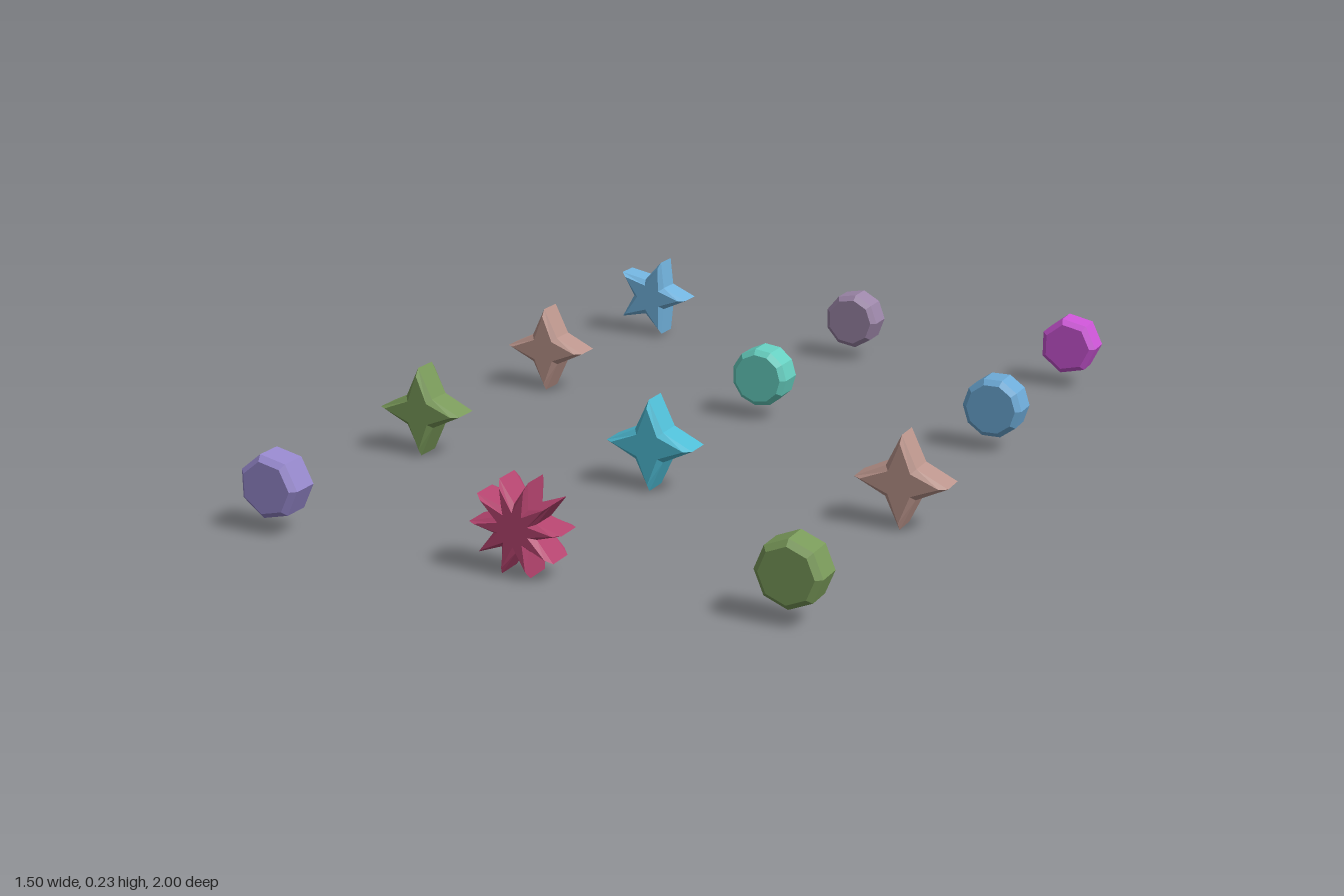
import * as THREE from 'three';

const UNIT = 2 / 62.8;      // scale of one working unit
const SPACING = 20 * UNIT;  // grid pitch
const CENTRE_Y = 0.113;

// Outline with its first corner at +x; an inner radius makes it a star
function outline(count, outer, inner) {
  const steps = inner ? count * 2 : count;
  const points = [];
  for (let i = 0; i < steps; i++) {
    const r = inner && i % 2 ? inner : outer;
    const a = (i / steps) * Math.PI * 2;
    points.push(new THREE.Vector2(Math.cos(a) * r * UNIT, Math.sin(a) * r * UNIT));
  }
  return new THREE.Shape(points);
}

// Thick slab with a single chamfer, centred on its own origin
function slab(shape) {
  const geometry = new THREE.ExtrudeGeometry(shape, {
    depth: 2 * UNIT, steps: 1, bevelEnabled: true,
    bevelThickness: 0.4 * UNIT, bevelSize: 0.4 * UNIT, bevelSegments: 1,
  });
  return geometry.translate(0, 0, -UNIT);
}

const star = (count, color) => ({ name: 'star', shape: outline(count, 3, 1.2), color });
const polygon = (count, color) => ({ name: 'polygon', shape: outline(count, 2), color });

export function createModel() {
  const group = new THREE.Group();
  group.name = 'shapeGrid';

  // Rows run from back to front, columns from -x to +x
  const rows = [
    [star(5, 0x72b3de), polygon(9, 0x9c86a8), polygon(7, 0xcc55d6)],
    [star(4, 0xbb958c), polygon(11, 0x66cfc0), polygon(10, 0x6dabd8)],
    [star(4, 0x7a9a5a), star(4, 0x4fbdd6), star(4, 0xbb958c)],
    [polygon(7, 0x9688cc), star(10, 0xb5446f), polygon(8, 0x7a9a5a)],
  ];

  rows.forEach((row, r) => row.forEach(({ name, shape, color }, c) => {
    const mesh = new THREE.Mesh(
      slab(shape),
      new THREE.MeshStandardMaterial({ color, flatShading: true }),
    );
    mesh.name = `${name}Row${r + 1}Column${c + 1}`;
    mesh.position.set((c - 1) * SPACING, CENTRE_Y, (r - 1.5) * SPACING);
    group.add(mesh);
  }));

  return group;
}
